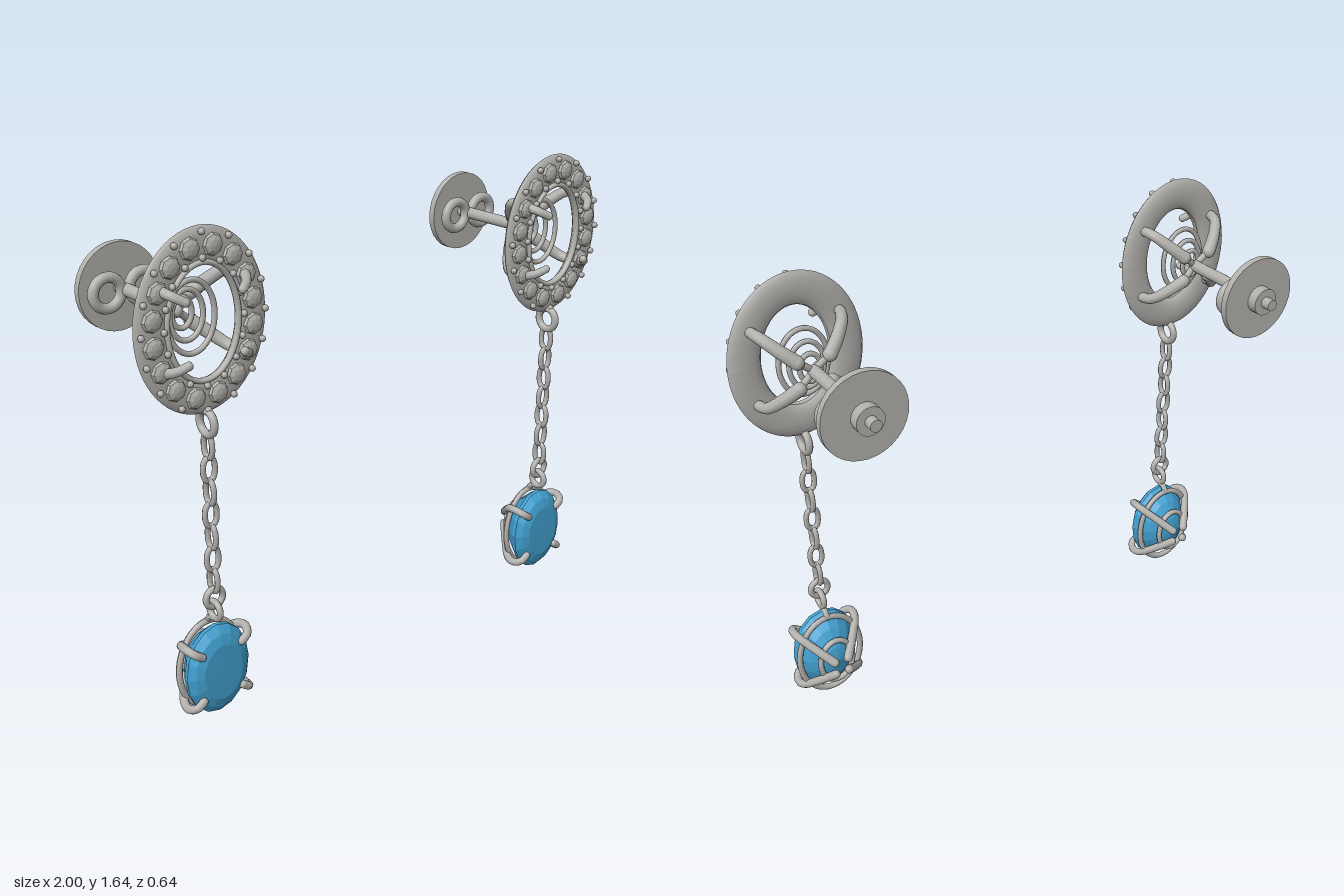
import * as THREE from 'three';

const V = (x, y, z) => new THREE.Vector3(x, y, z);
const metal = new THREE.MeshStandardMaterial({ color: 0xb2b0ac });
metal.name = 'silver metal';
const blue = new THREE.MeshStandardMaterial({ color: 0x42a0d0 });
blue.name = 'blue gem';

function add(parent, name, geo, mat, x = 0, y = 0, z = 0) {
  const m = new THREE.Mesh(geo, mat);
  m.name = name;
  m.position.set(x, y, z);
  parent.add(m);
  return m;
}

function faceted(geo) {
  const g = geo.index ? geo.toNonIndexed() : geo;
  g.computeVertexNormals();
  return g;
}

// Elliptical ring facing z; w and h are the half width and half depth of its section
function ovalRing(rx, ry, w, h, flatFront = 1, seg = 64) {
  const g = new THREE.TorusGeometry(1, 0.1, 12, seg);
  const p = g.attributes.position;
  for (let i = 0; i < p.count; i++) {
    const r = Math.hypot(p.getX(i), p.getY(i));
    const c = p.getX(i) / r, s = p.getY(i) / r, k = (r - 1) * 10 * w;
    p.setXYZ(i, (rx + k) * c, (ry + k) * s, Math.min(p.getZ(i) * 10, flatFront) * h);
  }
  g.computeVertexNormals();
  return g;
}

// Tube through points whose radius runs from r0 to r1, with round ends
function claw(parent, name, pts, r0, r1) {
  const group = new THREE.Group();
  group.name = name;
  const curve = new THREE.CatmullRomCurve3(pts), seg = 20, rad = 10;
  const g = new THREE.TubeGeometry(curve, seg, 1, rad, false);
  const p = g.attributes.position, v = V(0, 0, 0);
  for (let i = 0; i < p.count; i++) {
    const t = Math.floor(i / (rad + 1)) / seg;
    const c = curve.getPointAt(t);
    v.fromBufferAttribute(p, i).sub(c).multiplyScalar(r0 + (r1 - r0) * t).add(c);
    p.setXYZ(i, v.x, v.y, v.z);
  }
  add(group, name + 'Shaft', g, metal);
  const a = pts[0], b = pts[pts.length - 1];
  add(group, name + 'Tip', new THREE.SphereGeometry(r0, 10, 8), metal, a.x, a.y, a.z);
  add(group, name + 'Foot', new THREE.SphereGeometry(r1, 10, 8), metal, b.x, b.y, b.z);
  parent.add(group);
}

// Four claws mirrored over both axes
function claws(parent, name, path, r0, r1) {
  for (const sx of [-1, 1]) for (const sy of [-1, 1])
    claw(parent, name, path.map(([x, y, z]) => V(x * sx, y * sy, z)), r0, r1);
}

// Cylinder lying along z between two depths
function rod(parent, name, r, z0, z1, r2 = r) {
  const g = new THREE.CylinderGeometry(r2, r, z1 - z0, 32).rotateX(Math.PI / 2);
  add(parent, name, g, metal, 0, 0, (z0 + z1) / 2);
}

function buildStud() {
  const stud = new THREE.Group();
  stud.name = 'stud';
  // Halo plate with its inner lip
  add(stud, 'haloPlate', ovalRing(0.178, 0.233, 0.057, 0.02, 0.8), metal, 0, 0, 0.232);
  add(stud, 'haloLip', ovalRing(0.127, 0.182, 0.009, 0.012), metal, 0, 0, 0.243);
  // Small stones and grain beads
  const stoneGeo = faceted(new THREE.SphereGeometry(0.036, 8, 6).rotateX(Math.PI / 2).scale(1, 1, 0.5));
  const beadGeo = new THREE.SphereGeometry(0.011, 8, 6);
  const n = 16;
  const mid = new THREE.EllipseCurve(0, 0, 0.18, 0.235).getSpacedPoints(n * 2);
  for (let i = 0; i < n * 2; i++) {
    const { x, y } = mid[i];
    if (i % 2) {
      add(stud, 'haloStone', stoneGeo, metal, x, y, 0.247);
    } else {
      const a = Math.atan2(y / 0.235, x / 0.18);
      for (const k of [-0.038, 0.04])
        add(stud, 'haloBead', beadGeo, metal, x + k * Math.cos(a), y + k * Math.sin(a), 0.253);
    }
  }
  // Stepped basket rings behind the opening
  for (const [rx, ry, z] of [[0.085, 0.115, 0.18], [0.06, 0.08, 0.155], [0.036, 0.048, 0.13]])
    add(stud, 'basketRing', ovalRing(rx, ry, 0.009, 0.009), metal, 0, 0, z);
  // Claws and the struts joining them to the post
  claws(stud, 'studClaw', [[0.1, 0.096, 0.308], [0.13, 0.114, 0.285], [0.152, 0.128, 0.22],
    [0.14, 0.122, 0.17], [0.1, 0.085, 0.125], [0.056, 0.046, 0.095]], 0.014, 0.024);
  claws(stud, 'postStrut', [[0.06, 0.05, 0.098], [0.03, 0.025, 0.1], [0, 0, 0.105]], 0.012, 0.012);
  add(stud, 'postTip', new THREE.SphereGeometry(0.022, 16, 10), metal, 0, 0, 0.1);
  // Post, clutch loops and backing disc
  rod(stud, 'post', 0.021, -0.25, 0.1);
  for (const s of [-1, 1])
    add(stud, 'clutchLoop', new THREE.TorusGeometry(0.051, 0.018, 12, 32), metal, s * 0.066, 0, -0.186);
  rod(stud, 'backingDisc', 0.147, -0.247, -0.222);
  rod(stud, 'backingHub', 0.048, -0.284, -0.247);
  rod(stud, 'backingTip', 0.02, -0.318, -0.284);
  return stud;
}

function buildChain() {
  const chain = new THREE.Group();
  chain.name = 'chain';
  const ring = (name, r, t, y, side) => {
    const m = add(chain, name, new THREE.TorusGeometry(r, t, 10, 32), metal, 0, y, 0);
    if (side) m.rotation.y = Math.PI / 2;
  };
  ring('topRing', 0.039, 0.013, 1.035, true);
  // Links alternate between facing the side and the front
  const linkCurve = new THREE.CatmullRomCurve3([[0.02, 0.02], [0.01, 0.036], [-0.01, 0.036], [-0.02, 0.02],
    [-0.02, -0.02], [-0.01, -0.036], [0.01, -0.036], [0.02, -0.02]].map(([x, y]) => V(x, y, 0)), true);
  const linkGeo = new THREE.TubeGeometry(linkCurve, 40, 0.0095, 8, true);
  for (let i = 0; i < 7; i++) {
    const link = add(chain, 'chainLink', linkGeo, metal, 0, 0.957 - i * 0.0775, 0);
    if (i % 2 === 0) link.rotation.y = Math.PI / 2;
  }
  ring('lowerRing', 0.032, 0.011, 0.43, false);
  ring('pendantRing', 0.03, 0.011, 0.384, true);
  return chain;
}

function buildPendant() {
  const pendant = new THREE.Group();
  pendant.name = 'pendant';
  // Faceted oval stone: pavilion, girdle, crown and table
  const profile = [[0, 0.13], [0.35, 0.142], [0.72, 0.178], [1, 0.232], [1, 0.246], [0.84, 0.268], [0.62, 0.279], [0, 0.28]];
  const gem = new THREE.LatheGeometry(profile.map(([r, z]) => new THREE.Vector2(r, z)), 16);
  gem.rotateX(Math.PI / 2).scale(0.122, 0.162, 1);
  add(pendant, 'gem', faceted(gem), blue);
  // Basket rings and bail
  add(pendant, 'galleryRing', ovalRing(0.119, 0.156, 0.011, 0.011), metal, 0, 0, 0.197);
  add(pendant, 'backRing', ovalRing(0.062, 0.085, 0.01, 0.011), metal, 0, 0, 0.143);
  claw(pendant, 'bail', [V(0, 0.183, 0.232), V(0, 0.178, 0.212), V(0, 0.16, 0.197)], 0.011, 0.011);
  // Claws
  claws(pendant, 'pendantClaw', [[0.078, 0.083, 0.272], [0.102, 0.1, 0.27], [0.116, 0.112, 0.24],
    [0.11, 0.106, 0.205], [0.07, 0.068, 0.15], [0.026, 0.026, 0.1]], 0.014, 0.016);
  return pendant;
}

export function createModel() {
  const model = new THREE.Group();
  model.name = 'dropEarrings';
  for (const s of [-1, 1]) {
    const earring = new THREE.Group();
    earring.name = s > 0 ? 'leftEarring' : 'rightEarring';
    earring.position.x = s * 0.763;
    const stud = buildStud(), chain = buildChain(), pendant = buildPendant();
    stud.position.y = 1.355;
    chain.position.z = 0.24;
    pendant.position.y = 0.17;
    earring.add(stud, chain, pendant);
    model.add(earring);
  }
  return model;
}
